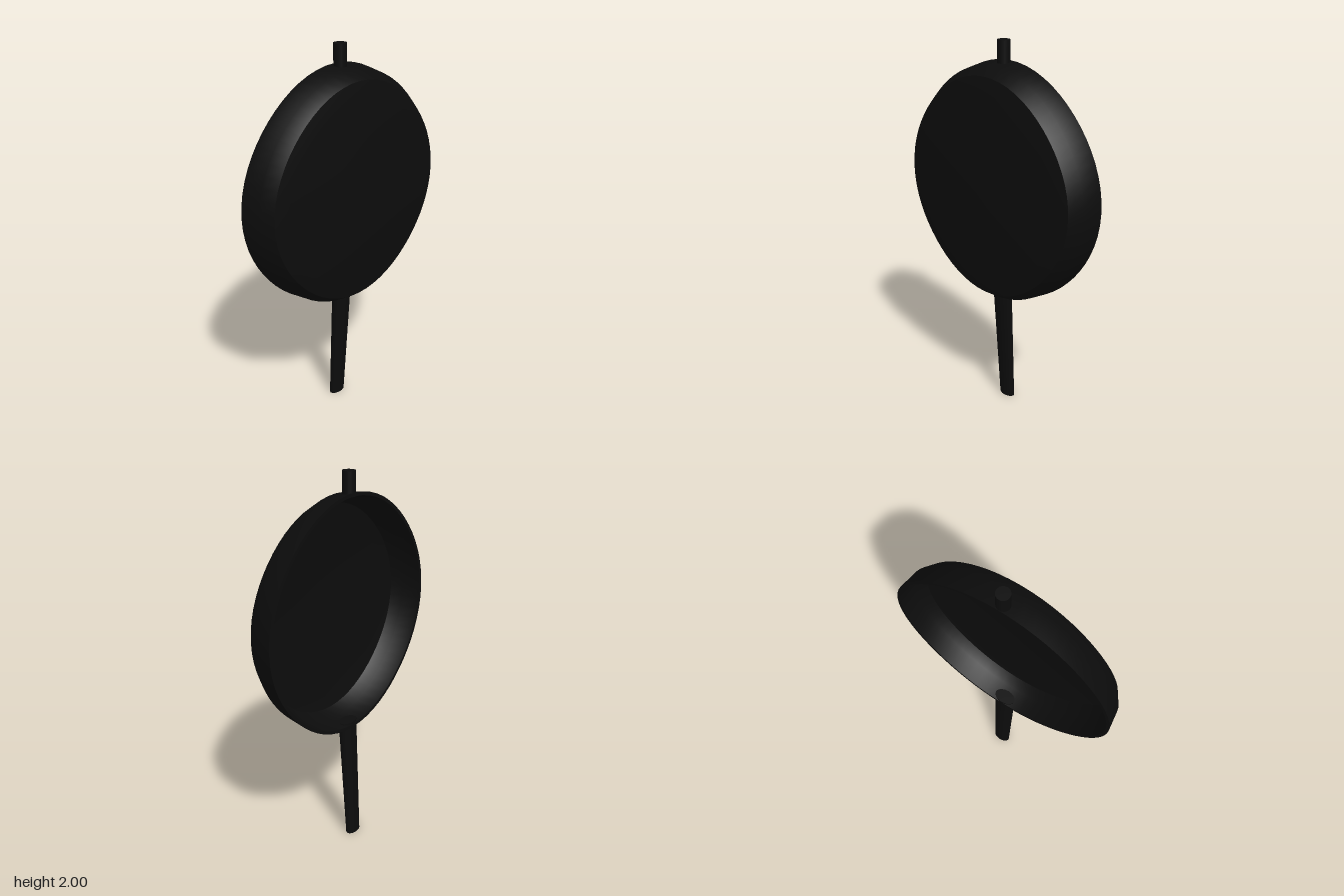
import * as THREE from 'three';
import { toCreasedNormals } from 'three/addons/utils/BufferGeometryUtils.js';

const lerp = THREE.MathUtils.lerp;

// Move every vertex of a geometry by a rule
function deform(geometry, rule) {
  const pos = geometry.attributes.position;
  const v = new THREE.Vector3();
  for (let i = 0; i < pos.count; i++) {
    rule(v.fromBufferAttribute(pos, i));
    pos.setXYZ(i, v.x, v.y, v.z);
  }
  return toCreasedNormals(geometry, 0.7);
}

export function createModel() {
  const group = new THREE.Group();
  const castIron = new THREE.MeshStandardMaterial({ color: 0x0c0c0c });
  castIron.name = 'castIron';
  const add = (name, geometry) => {
    const mesh = new THREE.Mesh(geometry, castIron);
    mesh.name = name;
    group.add(mesh);
    return mesh;
  };

  // Pan: inner floor, inner wall, rim, outer wall, base; open towards -z
  const profile = [
    [0, 0.09], [0.47, 0.09], [0.535, 0.078], [0.572, 0.025], [0.588, -0.077],
    [0.605, -0.077], [0.59, 0.03], [0.55, 0.092], [0.478, 0.107], [0, 0.107],
  ].map(([r, z]) => new THREE.Vector2(r, z));
  const bowl = new THREE.LatheGeometry(profile, 64).rotateX(Math.PI / 2);
  // Slight pouring lips at top and bottom, flatter on the diagonals
  const pan = add('pan', deform(bowl, (v) => {
    const a = Math.atan2(v.y, v.x);
    const lip = 0.025 * Math.sin(a) ** 2;
    const f = 1 + lip - 0.025 * Math.sin(2 * a) ** 2;
    v.x *= f;
    v.y *= f;
  }));
  pan.position.y = 1.28;

  // Handle: flattened, tapered and leaning back towards its free end
  const length = 0.69;
  const bar = new THREE.CylinderGeometry(1, 1, length, 20).translate(0, length / 2, 0);
  add('handle', deform(bar, (v) => {
    const t = v.y / length;
    v.x *= lerp(0.048, 0.059, t);
    v.z = lerp(-0.081, -0.04, t) + v.z * lerp(0.028, 0.037, t);
  }));

  // Helper grip opposite the handle
  const grip = add('helperGrip', new THREE.CylinderGeometry(0.033, 0.033, 0.12, 20));
  grip.position.set(0, 1.94, -0.043);

  return group;
}
